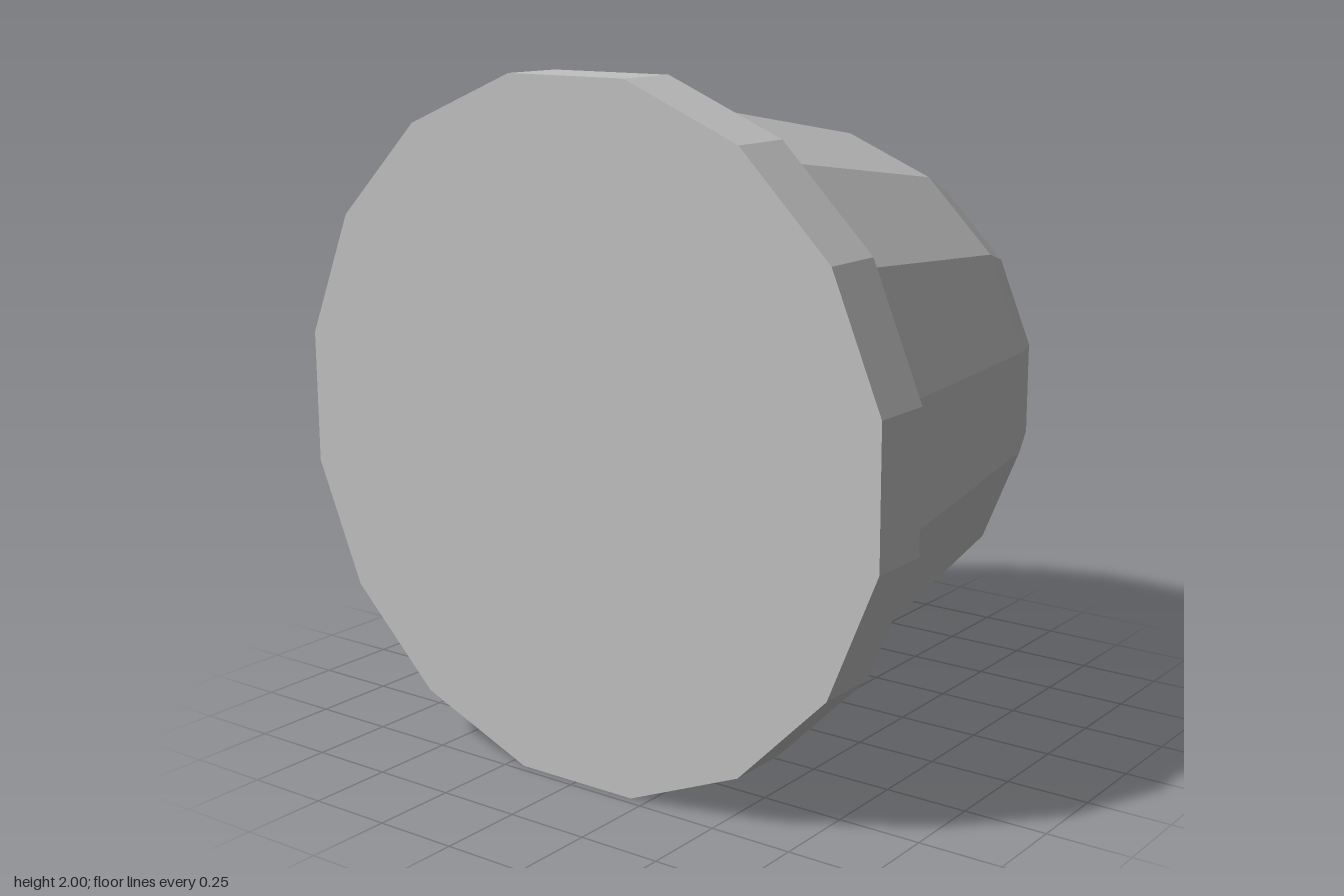
import * as THREE from 'three';

// Faceted ring surface around the z axis; profile points are [apothem, z]
function facetedLathe(profile, sides) {
  const k = 1 / Math.cos(Math.PI / sides);
  const points = profile.map(([a, z]) => new THREE.Vector2(a * k, z));
  const lathe = new THREE.LatheGeometry(points, sides, Math.PI / sides);
  lathe.rotateX(Math.PI / 2);
  const flat = lathe.toNonIndexed();
  flat.computeVertexNormals();
  return flat;
}

export function createModel() {
  const group = new THREE.Group();
  group.name = 'knob';
  const grey = new THREE.MeshStandardMaterial({ color: 0xc0c0c0 });
  grey.name = 'light grey';

  const add = (name, profile, sides) => {
    const mesh = new THREE.Mesh(facetedLathe(profile, sides), grey);
    mesh.name = name;
    mesh.position.y = 1;
    group.add(mesh);
  };

  // Tapered body with rounded back shoulder and flat rim around the socket
  add('body', [
    [0.487, -0.725], [0.585, -0.725], [0.69, -0.645],
    [0.77, -0.45], [0.92, 0.455],
  ], 16);

  // Wide front flange with bevel and flat face
  add('flange', [[0.92, 0.455], [1, 0.53], [1, 0.725], [0, 0.725]], 16);

  // Eight-sided blind socket with a chamfered floor
  add('socket', [[0, 0.04], [0.4, 0.04], [0.488, -0.1], [0.488, -0.725]], 8);

  return group;
}
